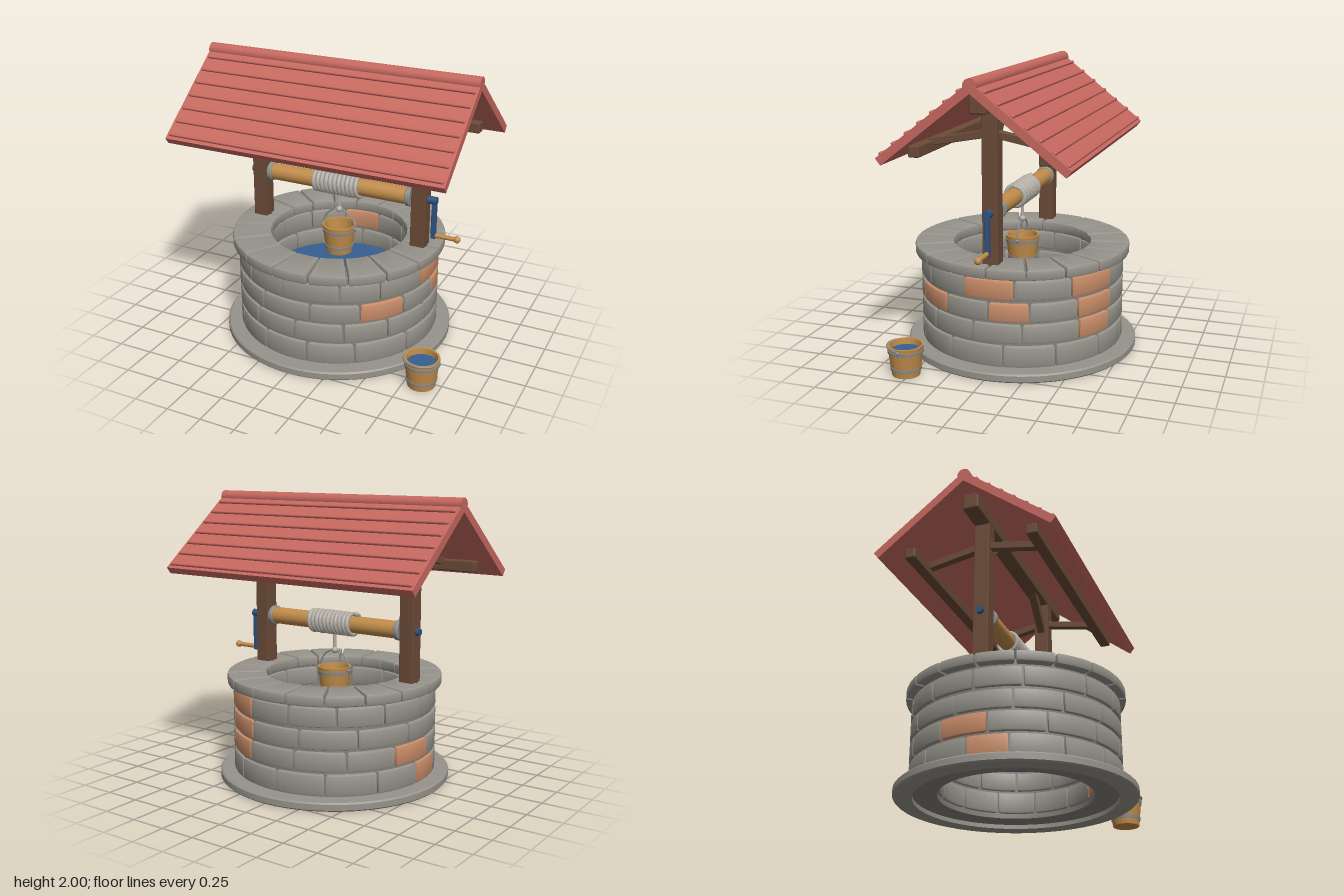
import * as THREE from 'three';
import { toCreasedNormals } from 'three/addons/utils/BufferGeometryUtils.js';
import { RoundedBoxGeometry } from 'three/addons/geometries/RoundedBoxGeometry.js';

const paint = (name, color, side = THREE.FrontSide) => {
  const m = new THREE.MeshStandardMaterial({ color, side });
  m.name = name;
  return m;
};

export function createModel() {
  const well = new THREE.Group();
  well.name = 'well';
  const stone = paint('stone grey', 0x96938b);
  const clay = paint('clay brick', 0xc98d69);
  const mortar = paint('mortar', 0x858079);
  const timber = paint('dark timber', 0x6b4b37);
  const honey = paint('honey wood', 0xc08c4a);
  const rope = paint('pale rope', 0xb4afa7);
  const iron = paint('grey iron', 0x8c8d8c);
  const blue = paint('blue crank', 0x2f5282);
  const water = paint('water', 0x365f93, THREE.DoubleSide);
  const tile = paint('red roof', 0xc6685f);

  const add = (name, geo, mat, x = 0, y = 0, z = 0, parent = well) => {
    const m = new THREE.Mesh(geo, mat);
    m.name = name;
    m.position.set(x, y, z);
    parent.add(m);
    return m;
  };
  const group = (name, parent = well) => {
    const g = new THREE.Group();
    g.name = name;
    parent.add(g);
    return g;
  };
  const lathe = (pts, seg = 64) =>
    toCreasedNormals(new THREE.LatheGeometry(pts.map(p => new THREE.Vector2(p[0], p[1])), seg), 0.6);
  // closed ring with a rectangular section and small chamfers
  const ring = (r0, r1, y0, y1, c = 0.01, seg = 64) => lathe([
    [r0, y0], [r1 - c, y0], [r1, y0 + c], [r1, y1 - c], [r1 - c, y1], [r0 + c, y1], [r0, y1 - c], [r0, y0]], seg);
  const xRod = (r, len, seg = 20) => new THREE.CylinderGeometry(r, r, len, seg).rotateZ(-Math.PI / 2);
  // squared beam between two points
  const beam = (name, a, b, w, parent) => {
    const p = new THREE.Vector3(...a), q = new THREE.Vector3(...b);
    const m = add(name, new RoundedBoxGeometry(w, w, p.distanceTo(q), 1, 0.006), timber, 0, 0, 0, parent);
    m.position.copy(p).add(q).multiplyScalar(0.5);
    m.lookAt(q);
    return m;
  };
  // bevelled wall stone; angles in degrees from the front towards +x
  const block = (r0, r1, a0, a1, y0, y1, b = 0.014) => {
    const gap = 0.007 / r1;
    const t0 = THREE.MathUtils.degToRad(a0 - 90) + gap;
    const t1 = THREE.MathUtils.degToRad(a1 - 90) - gap;
    const s = new THREE.Shape();
    s.absarc(0, 0, r1, t0, t1, false);
    s.absarc(0, 0, r0, t1, t0, true);
    const g = new THREE.ExtrudeGeometry(s, {
      depth: y1 - y0 - 2 * b, bevelEnabled: true, bevelSize: b, bevelThickness: b,
      bevelOffset: -b, bevelSegments: 2, curveSegments: 7 });
    return toCreasedNormals(g.rotateX(-Math.PI / 2).translate(0, y0 + b, 0), 0.5);
  };
  const course = (name, cuts, clays, r0, r1, y0, y1) => {
    const g = group(name);
    cuts.forEach((a, i) => {
      const end = i + 1 < cuts.length ? cuts[i + 1] : cuts[0] + 360;
      add('stone', block(r0, r1, a, end, y0, y1), clays.includes(i) ? clay : stone, 0, 0, 0, g);
    });
  };
  const evenCuts = (n, start) => Array.from({ length: n }, (_, i) => start + i * 360 / n);

  // foundation, mortar core and water
  add('foundation', ring(0.69, 0.82, 0, 0.06), stone);
  add('mortarCore', ring(0.525, 0.7, 0.03, 0.715, 0.002), mortar);
  add('wellWater', new THREE.CircleGeometry(0.53, 48).rotateX(-Math.PI / 2), water, 0, 0.38, 0);

  // four courses, each with outer and inner facing stones
  const courses = [
    { y: [0.065, 0.215], cuts: [-95, -73, -45, -19, 8, 34, 66, 98, 126, 154, 182, 210, 238], clays: [0], inner: [0] },
    { y: [0.23, 0.365], cuts: [-111, -84, -54, -25, 1, 28, 53, 81, 108, 140, 163, 193, 221], clays: [0, 9], inner: [] },
    { y: [0.38, 0.51], cuts: [-71, -45, -20, 10, 37, 63, 90, 112, 139, 165, 196, 227, 258], clays: [4, 6, 8], inner: [] },
    { y: [0.53, 0.665], cuts: [-66, -31, -6, 26, 48, 76, 104, 135, 164, 190, 216, 242, 268], clays: [5, 7], inner: [5] },
  ];
  courses.forEach(({ y, cuts, clays, inner }, i) => {
    course('outerCourse' + (i + 1), cuts, clays, 0.6, 0.72, ...y);
    course('innerCourse' + (i + 1), evenCuts(12, i % 2 ? 20 : 5), inner, 0.508, 0.58, ...y);
  });
  course('copingStones', evenCuts(18, 10), [], 0.485, 0.76, 0.68, 0.755);

  // timber frame
  const frame = group('frame');
  for (const s of [-1, 1]) {
    add('post', new RoundedBoxGeometry(0.105, 1.18, 0.108, 1, 0.006), timber, s * 0.617, 1.26, 0, frame);
    beam('ridgeBrace', [s * 0.59, 1.54, 0], [s * 0.36, 1.8, 0], 0.06, frame);
    for (const t of [-1, 1])
      beam('sideBrace', [s * 0.617, 1.61, t * 0.03], [s * 0.617, 1.535, t * 0.43], 0.052, frame);
    add('purlin', new RoundedBoxGeometry(1.76, 0.076, 0.076, 1, 0.01), timber, 0, 1.512, s * 0.43, frame);
  }
  add('ridgeBeam', new RoundedBoxGeometry(1.76, 0.12, 0.115, 1, 0.015), timber, 0, 1.825, 0, frame);

  // roof slopes with battens, and ridge roll
  const roof = group('roof');
  const pitch = 0.664, slope = 0.784;
  for (const s of [0, 1]) {
    const half = group('roofSlope', roof);
    half.position.y = 1.943;
    half.rotation.y = s * Math.PI;
    const tilt = group('slopeTilt', half);
    tilt.rotation.x = pitch;
    add('roofPanel', new THREE.BoxGeometry(2, 0.055, slope), tile, 0, 0, slope / 2, tilt);
    for (let i = 0; i < 7; i++)
      add('batten', new RoundedBoxGeometry(1.97, 0.026, 0.024, 2, 0.01), tile, 0, 0.031, 0.081 + i * 0.111, tilt);
  }
  add('ridgeRoll', xRod(0.045, 2, 24), tile, 0, 1.955, 0, roof);

  // windlass with rope and crank
  const windlass = group('windlass');
  windlass.position.y = 1.1;
  add('drum', xRod(0.06, 1.06, 28), honey, 0, 0, 0, windlass);
  add('axle', xRod(0.025, 1.43), blue, 0.02, 0, 0, windlass);
  for (const s of [-1, 1])
    add('collar', new RoundedBoxGeometry(0.001, 0.001, 0.001, 1, 0.0001), iron, s * 0.535, 0, 0, windlass)
      .geometry = ring(0.02, 0.07, -0.018, 0.018, 0.006, 28).rotateZ(-Math.PI / 2);
  const turns = 11, coil = [];
  for (let i = 0; i <= turns * 16; i++) {
    const a = i / 16 * Math.PI * 2;
    coil.push(new THREE.Vector3(-0.175 + 0.355 * i / (turns * 16), 0.071 * Math.cos(a), 0.071 * Math.sin(a)));
  }
  add('ropeCoil', new THREE.TubeGeometry(new THREE.CatmullRomCurve3(coil), 264, 0.0165, 8), rope, 0, 0, 0, windlass);
  add('ropeEnd', new THREE.SphereGeometry(0.018, 12, 8), rope, -0.185, 0.075, 0, windlass);
  add('hangingRope', new THREE.CylinderGeometry(0.012, 0.012, 0.17, 10), rope, 0, -0.125, 0, windlass);
  add('ropeKnot', new THREE.SphereGeometry(0.024, 16, 12), rope, 0, -0.2, 0, windlass);
  add('crankArm', new RoundedBoxGeometry(0.034, 0.3, 0.034, 1, 0.006), blue, 0.717, -0.13, 0, windlass);
  add('crankHub', xRod(0.027, 0.07), blue, 0.7, 0, 0, windlass);
  add('crankGrip', xRod(0.016, 0.17, 16), honey, 0.8, -0.257, 0, windlass);
  add('crankKnob', new THREE.SphereGeometry(0.025, 16, 12), honey, 0.888, -0.257, 0, windlass);

  // wooden pails
  const pail = (name, x, y, z) => {
    const g = group(name);
    g.position.set(x, y, z);
    add('staves', lathe([[0, 0], [0.094, 0], [0.121, 0.21], [0.106, 0.21], [0.084, 0.02], [0, 0.02]], 24), honey, 0, 0, 0, g);
    for (const h of [0.04, 0.16]) {
      const r = 0.094 + 0.027 * h / 0.21;
      add('hoop', lathe([[r - 0.005, h], [r + 0.005, h], [r + 0.008, h + 0.022], [r - 0.002, h + 0.022]], 32), iron, 0, 0, 0, g);
    }
    for (const s of [-1, 1])
      add('handlePin', new THREE.SphereGeometry(0.013, 10, 8), iron, s * 0.12, 0.188, 0, g);
    return g;
  };
  const handle = () => new THREE.TorusGeometry(0.122, 0.006, 8, 28, Math.PI);
  const hung = pail('hangingPail', 0, 0.575, 0);
  add('handle', handle(), iron, 0, 0.195, 0, hung).scale.y = 1.05;
  const ground = pail('groundPail', 0.865, 0, 0.53);
  add('handle', handle(), iron, 0, 0.195, 0, ground).rotation.x = Math.PI / 2 - 0.1;
  add('pailWater', new THREE.CircleGeometry(0.102, 24).rotateX(-Math.PI / 2), water, 0, 0.17, 0, ground);
  return well;
}
